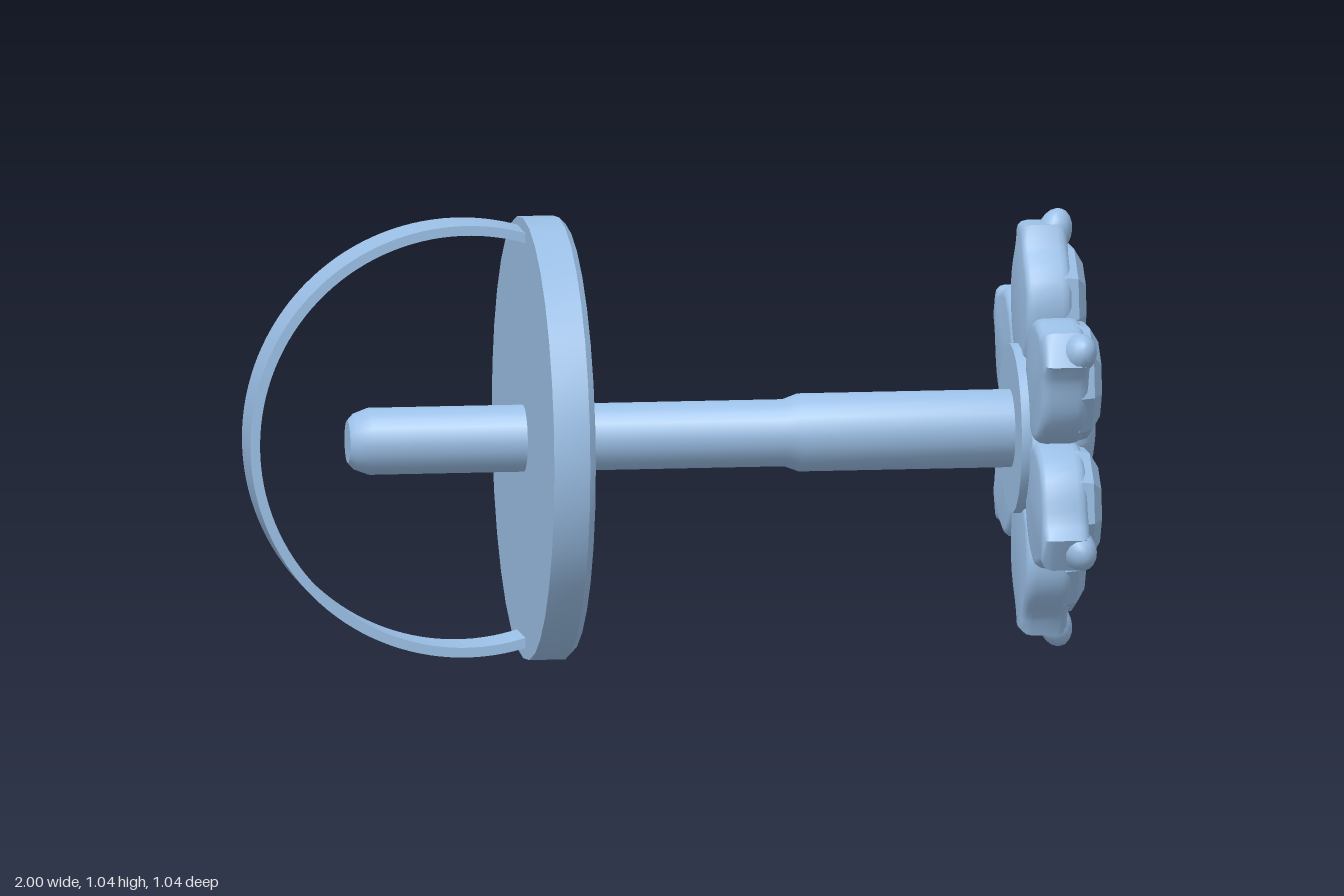
import * as THREE from 'three';
import { toCreasedNormals } from 'three/addons/utils/BufferGeometryUtils.js';

const metal = new THREE.MeshStandardMaterial({ color: 0x9bbfe6 });
const facet = new THREE.MeshStandardMaterial({ color: 0x9bbfe6, flatShading: true });
const AXIS_Y = 0.525;

function add(parent, name, geometry, material = metal) {
  const mesh = new THREE.Mesh(geometry, material);
  mesh.name = name;
  parent.add(mesh);
  return mesh;
}

// Turned shape around local z; points are [radius, z] from back to front.
function turned(points, sides, crease = 0.6) {
  const g = new THREE.LatheGeometry(points.map(([r, z]) => new THREE.Vector2(r, z)), sides);
  g.rotateX(Math.PI / 2);
  return toCreasedNormals(g, crease);
}

// Teardrop cup, narrow at the flower centre and pointed at the outer tip.
function settingGeometry() {
  const s = new THREE.Shape();
  s.moveTo(0.035, 0.15);
  s.bezierCurveTo(0.07, 0.18, 0.125, 0.21, 0.125, 0.3);
  s.bezierCurveTo(0.125, 0.39, 0.045, 0.4, 0.03, 0.465);
  s.lineTo(-0.03, 0.465);
  s.bezierCurveTo(-0.045, 0.4, -0.125, 0.39, -0.125, 0.3);
  s.bezierCurveTo(-0.125, 0.21, -0.07, 0.18, -0.035, 0.15);
  const g = new THREE.ExtrudeGeometry(s, {
    depth: 0.06, curveSegments: 8, bevelSize: 0.02, bevelThickness: 0.025, bevelSegments: 3,
  });
  g.translate(0, 0, 0.845);
  return toCreasedNormals(g, 0.9);
}

function prongGeometry(rx, ry, rz) {
  return new THREE.SphereGeometry(1, 14, 10).scale(rx, ry, rz);
}

export function createModel() {
  const model = new THREE.Group();
  model.name = 'flowerStudEarring';

  // Everything turned is built along local z, then faced towards +x.
  const stud = new THREE.Group();
  stud.name = 'stud';
  stud.position.y = AXIS_Y;
  stud.rotation.y = Math.PI / 2;
  model.add(stud);

  add(stud, 'post', turned([
    [0, -0.765], [0.05, -0.765], [0.066, -0.75], [0.079, -0.715], [0.079, 0.265],
    [0.092, 0.3], [0.092, 0.81], [0, 0.81]], 24));
  add(stud, 'backingDisc', turned([
    [0, -0.35], [0.52, -0.35], [0.52, -0.265], [0.505, -0.25], [0, -0.25]], 32));
  add(stud, 'flowerBase', turned([[0, 0.8], [0.2, 0.8], [0.2, 0.825], [0, 0.825]], 24));

  // Six petals, each with a cup, a faceted stone and two prongs
  const cup = settingGeometry();
  const stone = turned([
    [0, 0.89], [0.13, 0.89], [0.146, 0.915], [0.138, 0.945], [0.1, 0.967], [0, 0.957]], 9);
  const outerProng = prongGeometry(0.047, 0.057, 0.04);
  const innerProng = prongGeometry(0.038, 0.05, 0.04);
  for (let i = 0; i < 6; i++) {
    const a = i * Math.PI / 3;
    const petal = new THREE.Group();
    petal.name = 'petal';
    petal.rotation.z = a;
    stud.add(petal);
    add(petal, 'petalCup', cup);
    const outer = add(petal, 'outerProng', outerProng);
    outer.position.set(0, 0.462, 0.905);
    outer.rotation.x = 0.3;
    add(petal, 'innerProng', innerProng).position.set(0, 0.145, 0.925);
    // Stones all keep the same upright orientation
    add(stud, 'petalStone', stone, facet)
      .position.set(-0.297 * Math.sin(a), 0.297 * Math.cos(a), 0);
  }

  // Domed centre stone
  add(stud, 'centreStone', turned([
    [0, 0.9], [0.1, 0.905], [0.146, 0.93], [0.14, 0.95], [0.115, 0.973],
    [0.08, 0.989], [0.04, 0.997], [0, 1]], 9, 0.75));

  // Flat curled band behind the disc
  const band = new THREE.Shape();
  const start = THREE.MathUtils.degToRad(69), end = 2 * Math.PI - start;
  band.absarc(0, 0, 0.51, start, end, false);
  band.absarc(0, 0, 0.487, end, start, true);
  const loop = new THREE.ExtrudeGeometry(band, { depth: 0.14, bevelEnabled: false, curveSegments: 40 });
  loop.translate(-0.49, AXIS_Y, -0.1);
  add(model, 'backLoop', toCreasedNormals(loop, 0.6));

  return model;
}
